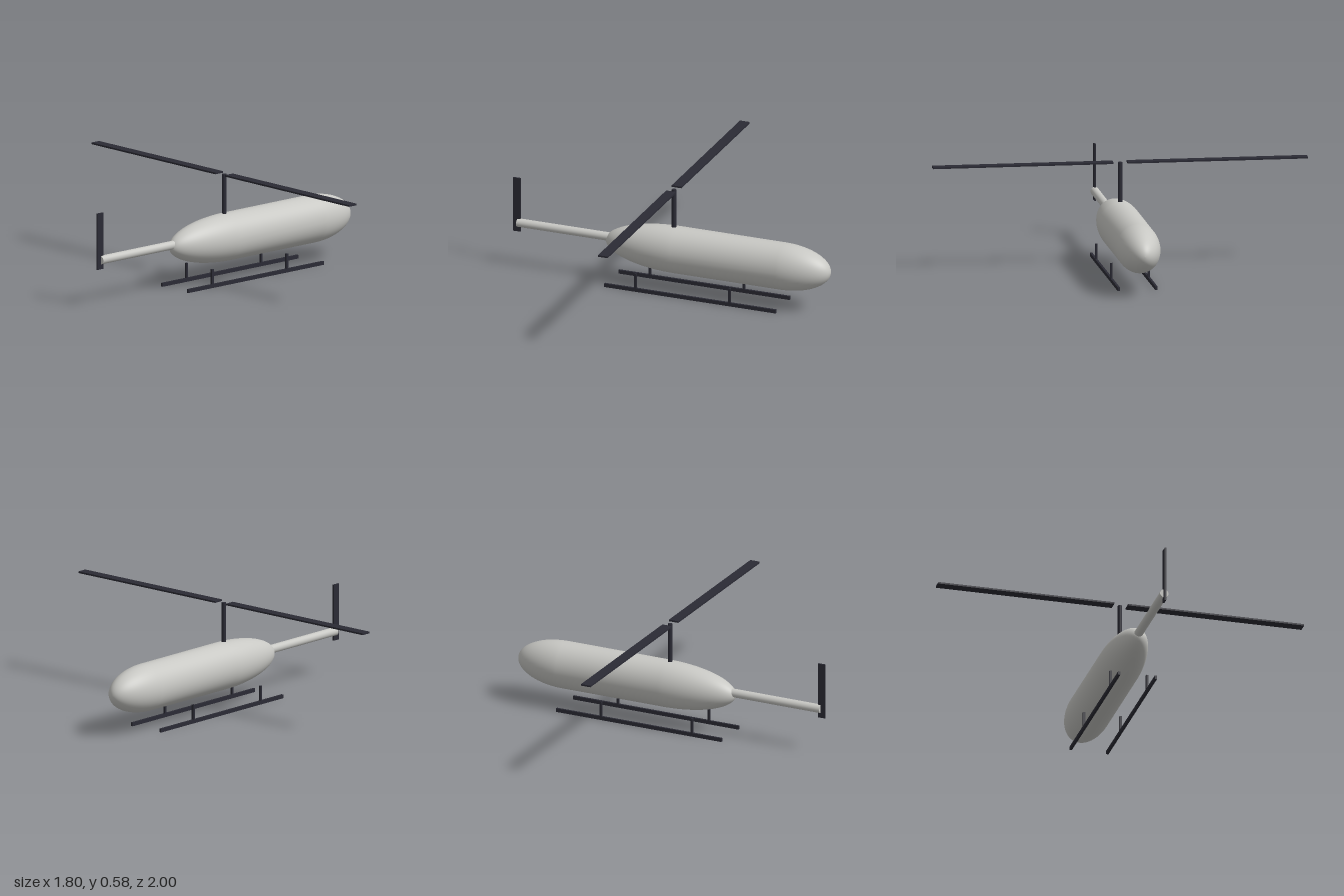
import * as THREE from 'three';

export function createModel() {
  const model = new THREE.Group();
  model.name = 'helicopter';

  const hullGrey = new THREE.MeshStandardMaterial({ color: 0xc8c8c4 });
  hullGrey.name = 'hullGrey';
  const darkMetal = new THREE.MeshStandardMaterial({ color: 0x2b2b35 });
  darkMetal.name = 'darkMetal';

  function add(name, geometry, material, x, y, z) {
    const mesh = new THREE.Mesh(geometry, material);
    mesh.name = name;
    mesh.position.set(x, y, z);
    model.add(mesh);
    return mesh;
  }

  // Fuselage: long elliptical tail, straight middle, rounder nose
  const steps = 20;
  const profile = [];
  for (let i = 0; i <= steps; i++) {
    const a = (i / steps) * Math.PI / 2;
    profile.push(new THREE.Vector2(Math.sin(a), 0.03 - 0.405 * Math.cos(a)));
  }
  for (let i = 0; i <= steps; i++) {
    const a = (i / steps) * Math.PI / 2;
    profile.push(new THREE.Vector2(Math.max(0, Math.cos(a)), 0.63 + 0.27 * Math.sin(a)));
  }
  const hull = new THREE.LatheGeometry(profile, 48);
  hull.rotateZ(-Math.PI / 2);
  hull.scale(1, 0.128, 0.115);
  hull.computeVertexNormals();
  // Blend the normals across the lathe seam
  const n = hull.attributes.normal, ring = profile.length, last = 48 * ring;
  const v = new THREE.Vector3(), w = new THREE.Vector3();
  for (let j = 0; j < ring; j++) {
    v.fromBufferAttribute(n, j).add(w.fromBufferAttribute(n, last + j)).normalize();
    n.setXYZ(j, v.x, v.y, v.z);
    n.setXYZ(last + j, v.x, v.y, v.z);
  }
  add('fuselage', hull, hullGrey, 0, 0.231, 0);

  // Tail boom
  const boom = new THREE.CylinderGeometry(0.023, 0.023, 0.56, 24);
  boom.rotateZ(Math.PI / 2);
  add('tailBoom', boom, hullGrey, -0.6, 0.245, 0);

  // Tail rotor blade
  add('tailRotor', new THREE.BoxGeometry(0.042, 0.304, 0.009), darkMetal, -0.884, 0.348, 0);

  // Rotor mast
  add('mast', new THREE.CylinderGeometry(0.012, 0.012, 0.27, 20), darkMetal, 0.01, 0.437, 0);

  // Main rotor blades, skids and struts, mirrored front to back
  for (const side of [1, -1]) {
    add('rotorBlade', new THREE.BoxGeometry(0.055, 0.009, 0.962), darkMetal, 0.009, 0.572, side * 0.519);
    add('skid', new THREE.BoxGeometry(0.975, 0.02, 0.012), darkMetal, 0.143, 0.01, side * 0.1);
    for (const x of [-0.168, 0.367]) {
      add('skidStrut', new THREE.BoxGeometry(0.012, 0.09, 0.012), darkMetal, x, 0.056, side * 0.1);
    }
  }
  return model;
}
